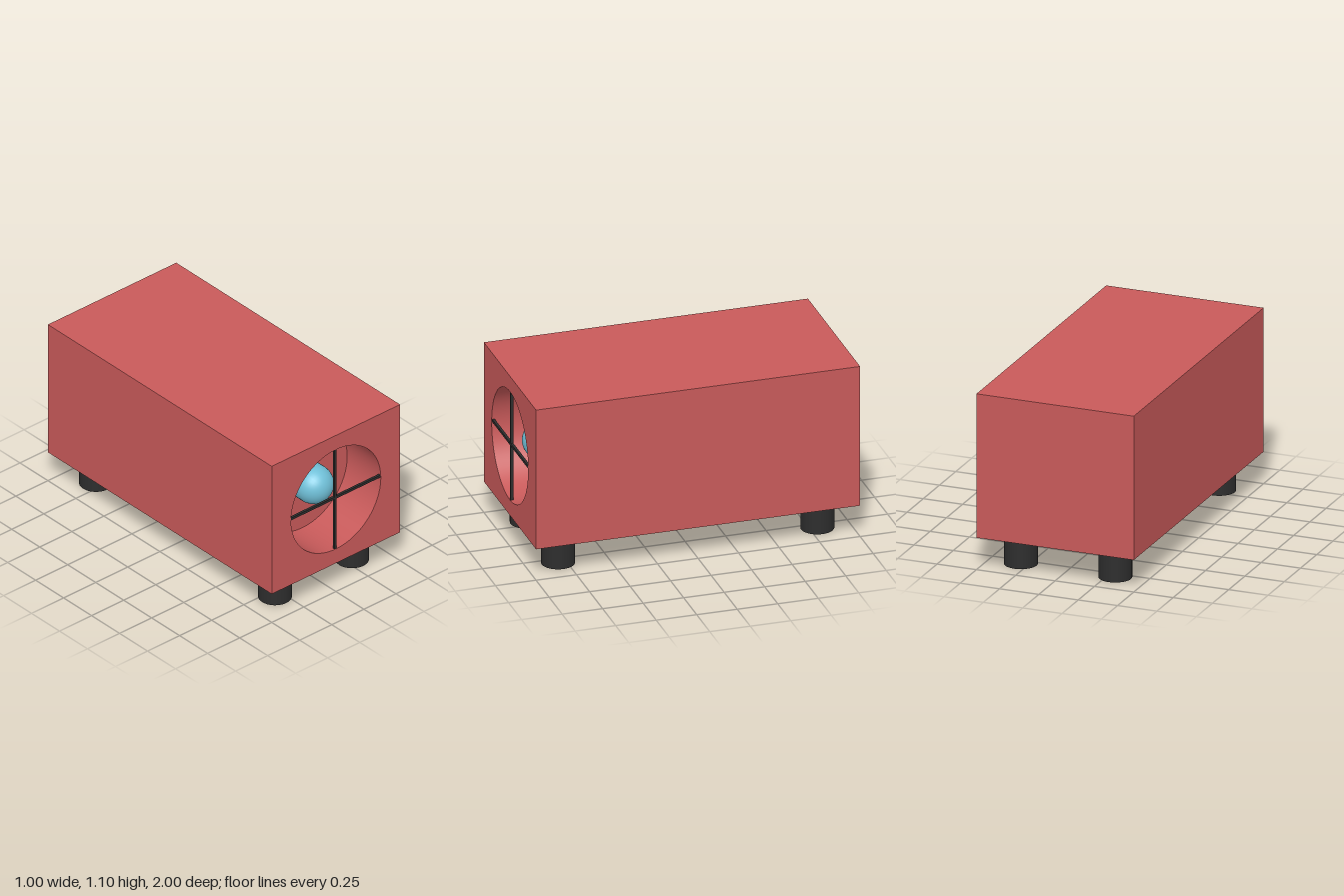
import * as THREE from 'three';

const red = new THREE.MeshStandardMaterial({ color: 0xc85a5a });
const redInside = new THREE.MeshStandardMaterial({ color: 0xc85a5a, side: THREE.DoubleSide });
const black = new THREE.MeshStandardMaterial({ color: 0x2d2d2d });
const blue = new THREE.MeshStandardMaterial({ color: 0x70c0d8 });

const BOTTOM = 0.2, HEIGHT = 0.9, MID = BOTTOM + HEIGHT / 2;
const HOLE_R = 0.35, HOLE_DEPTH = 0.3, CROSS_Y = 0.66;

export function createModel() {
  const model = new THREE.Group();
  model.name = 'boxOnFeet';

  const add = (name, geometry, material, x, y, z) => {
    const mesh = new THREE.Mesh(geometry, material);
    mesh.name = name;
    mesh.position.set(x, y, z);
    model.add(mesh);
    return mesh;
  };

  // Body: a box whose +z face is left out, closed by a panel with a round opening
  const box = new THREE.BoxGeometry(1, HEIGHT, 2);
  const kept = Array.from(box.index.array).filter((_, i) => i < 24 || i >= 30);
  box.setIndex(kept);
  box.clearGroups();
  add('body', box, red, 0, MID, 0);

  const panel = new THREE.Shape([
    new THREE.Vector2(-0.5, -HEIGHT / 2), new THREE.Vector2(0.5, -HEIGHT / 2),
    new THREE.Vector2(0.5, HEIGHT / 2), new THREE.Vector2(-0.5, HEIGHT / 2),
  ]);
  panel.holes.push(new THREE.Path().absarc(0, 0, HOLE_R, 0, Math.PI * 2, true));
  add('frontPanel', new THREE.ShapeGeometry(panel, 32), red, 0, MID, 1);

  // Round recess: side wall and flat back
  const wall = new THREE.CylinderGeometry(HOLE_R, HOLE_R, HOLE_DEPTH, 64, 1, true).rotateX(Math.PI / 2);
  add('recessWall', wall, redInside, 0, MID, 1 - HOLE_DEPTH / 2);
  add('recessBack', new THREE.CircleGeometry(HOLE_R, 64), red, 0, MID, 1 - HOLE_DEPTH);

  // Round-nosed core standing on the back of the recess
  const core = new THREE.CapsuleGeometry(0.12, 0.2, 12, 32).rotateX(Math.PI / 2);
  add('core', core, blue, 0, CROSS_Y, 0.7);

  // Thin cross bars over the opening
  add('verticalBar', new THREE.BoxGeometry(0.016, 2 * HOLE_R, 0.016), black, 0, MID, 0.99);
  add('horizontalBar', new THREE.BoxGeometry(2 * HOLE_R, 0.016, 0.016), black, 0, CROSS_Y, 0.99);

  // Four round feet
  const foot = new THREE.CylinderGeometry(0.1, 0.1, BOTTOM, 32);
  for (const [end, z] of [['front', 0.8], ['back', -0.8]])
    for (const [side, x] of [['Left', 0.3], ['Right', -0.3]])
      add(`${end}${side}Foot`, foot, black, x, BOTTOM / 2, z);

  return model;
}
